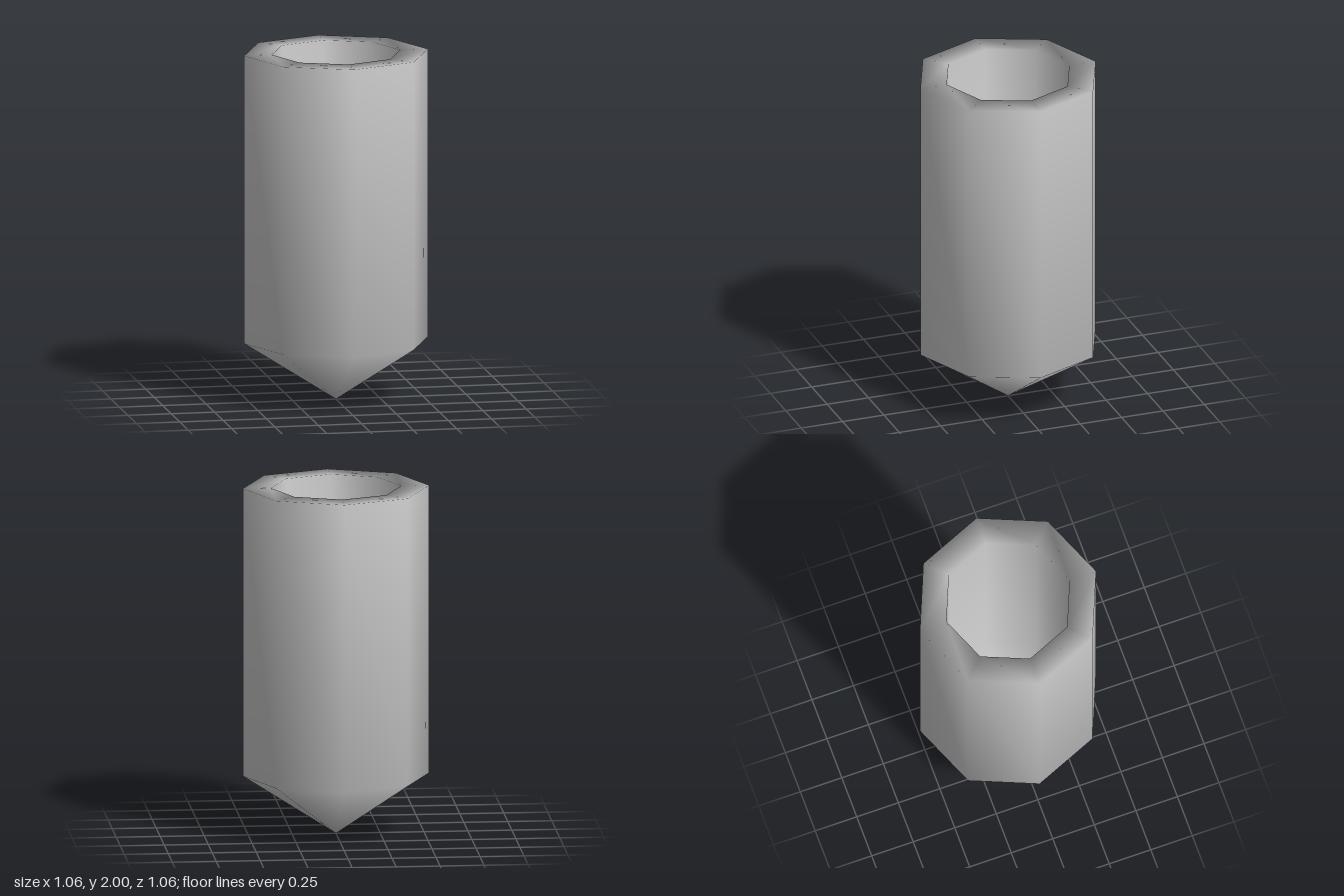
import * as THREE from 'three';

export function createModel() {
  const group = new THREE.Group();
  group.name = 'pointedCup';
  const grey = new THREE.MeshStandardMaterial({ color: 0xcccccc });
  grey.name = 'lightGrey';

  // Profile from the pointed foot, up the wall, over the rim and down to the inner floor
  const profile = [
    [0, 0], [0.53, 0.34], [0.53, 2], [0.37, 2], [0.37, 0.35], [0, 0.35],
  ].map(([r, y]) => new THREE.Vector2(r, y));

  // Eight-sided body, shaded smoothly across its edges
  const geometry = new THREE.LatheGeometry(profile, 8);

  // Shared straight normals at the foot tip and the floor centre
  const normal = geometry.attributes.normal;
  for (let i = 0; i < normal.count; i++) {
    const ring = i % profile.length;
    if (ring === 0) normal.setXYZ(i, 0, -1, 0);
    if (ring === profile.length - 1) normal.setXYZ(i, 0, 1, 0);
  }

  const body = new THREE.Mesh(geometry, grey);
  body.name = 'hollowBody';
  group.add(body);
  return group;
}
